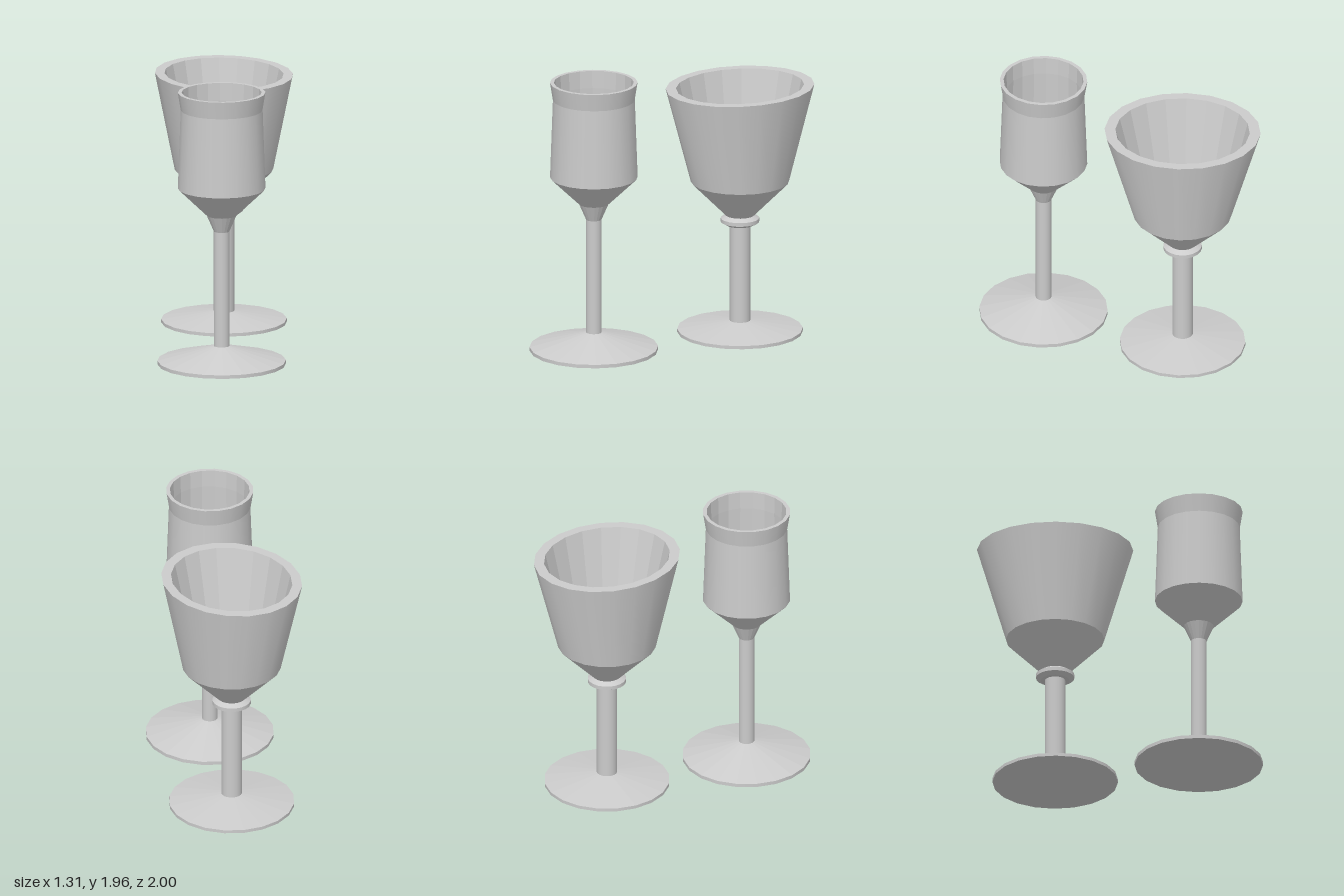
import * as THREE from 'three';
import { mergeGeometries } from 'three/addons/utils/BufferGeometryUtils.js';

const SIDES = 20;
const material = new THREE.MeshStandardMaterial({ color: 0xcccccc });

// Turned part. Each profile point is [radius, y, flat, zStretch]; the band that
// ends at a point is faceted when flat is set, and creased from its neighbours.
function turned(name, profile) {
  const bands = [];
  for (let i = 1; i < profile.length; i++) {
    const ends = [profile[i - 1], profile[i]];
    let band = new THREE.LatheGeometry(ends.map(([r, y]) => new THREE.Vector2(r, y)), SIDES);
    const pos = band.attributes.position;
    for (let v = 0; v < pos.count; v++) pos.setZ(v, pos.getZ(v) * (ends[v % 2][3] ?? 1));
    band = band.toNonIndexed();
    if (profile[i][2]) band.computeVertexNormals();
    bands.push(band);
  }
  const mesh = new THREE.Mesh(mergeGeometries(bands), material);
  mesh.name = name;
  return mesh;
}

function glass(name, x, z, parts) {
  const group = new THREE.Group();
  group.name = name;
  group.position.set(x, 0, z);
  for (const [part, profile] of Object.entries(parts)) group.add(turned(part, profile));
  return group;
}

export function createModel() {
  const model = new THREE.Group();
  model.name = 'glasses';

  // Tall narrow glass with a flared lip
  model.add(glass('tallGlass', -0.207, 0.55, {
    foot: [[0, 0], [0.45, 0, 1], [0.45, 0.025], [0.055, 0.13, 1]],
    stem: [[0.055, 0.13], [0.055, 0.955]],
    bowl: [
      [0.055, 0.955], [0.105, 1.07, 1], [0.307, 1.265, 1], [0.287, 1.83], [0.307, 1.955],
      [0.28, 1.955, 1], [0.275, 1.83, 1], [0.28, 1.28, 1], [0, 1.28, 1],
    ],
  }));

  // Wide goblet: round below, with an oval rim and hollow
  const oval = 1.15;
  model.add(glass('wideGoblet', 0.177, -0.45, {
    foot: [[0, 0.04], [0.44, 0.04, 1], [0.44, 0.063], [0.072, 0.122, 1]],
    stem: [[0.072, 0.122], [0.072, 0.825]],
    collar: [[0.072, 0.823, 1], [0.1, 0.823, 1], [0.135, 0.843], [0.135, 0.87], [0.1, 0.892], [0, 0.892, 1]],
    bowl: [
      [0.1, 0.892], [0.345, 1.14, 1], [0.476, 1.83, 0, oval],
      [0.41, 1.83, 1, oval], [0.263, 1.14, 1, oval], [0.13, 1.04, 0, oval], [0, 1.01, 0, oval],
    ],
  }));

  return model;
}
